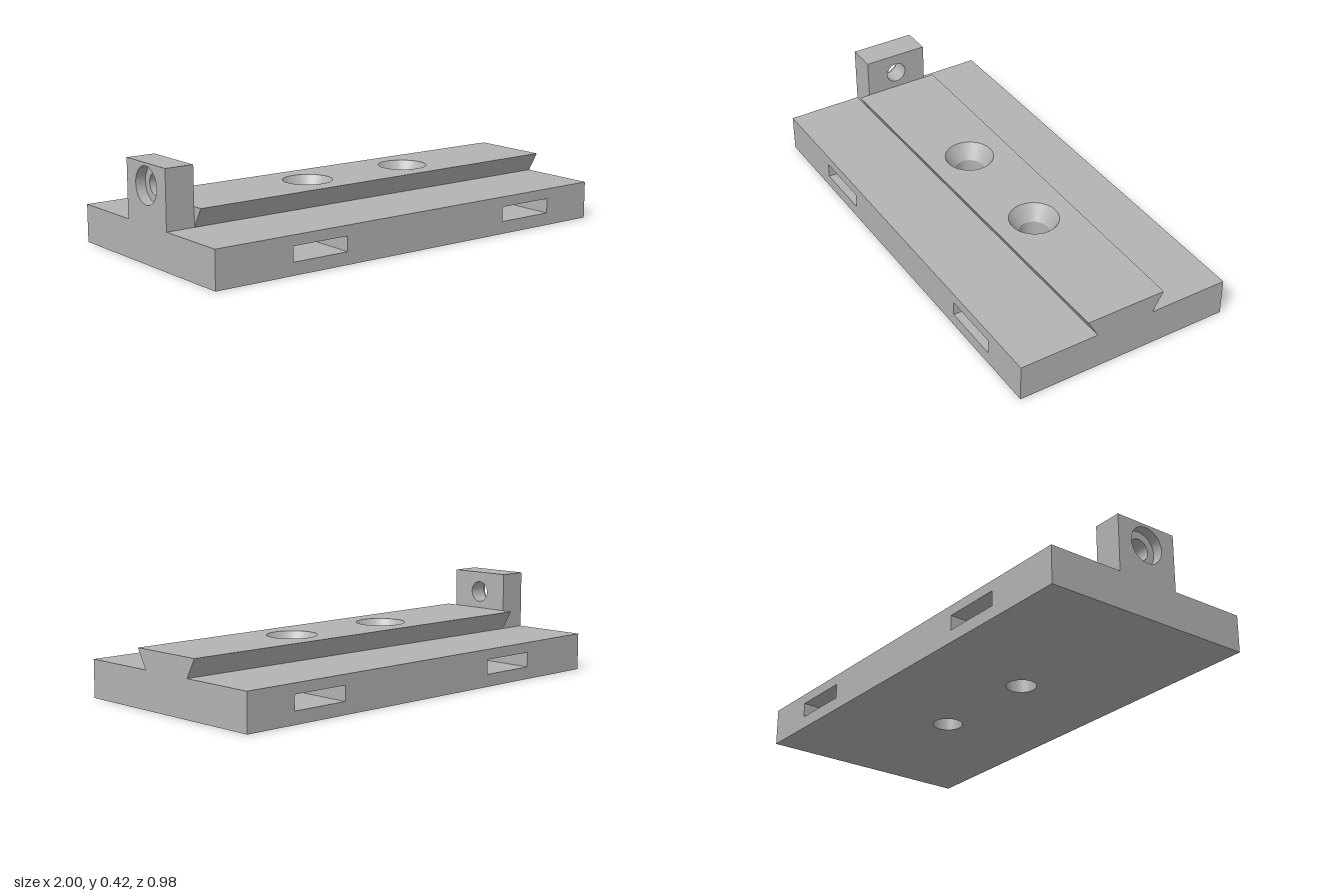
import * as THREE from 'three';
import { mergeGeometries } from 'three/addons/utils/BufferGeometryUtils.js';

const V = (x, y, z) => new THREE.Vector3(x, y, z);
const SEG = 48;

// Directions a panel can face: [u axis, v axis], facing u x v
const FACE = {
  front: [V(1, 0, 0), V(0, 1, 0)],
  back: [V(-1, 0, 0), V(0, 1, 0)],
  top: [V(1, 0, 0), V(0, 0, -1)],
  bottom: [V(1, 0, 0), V(0, 0, 1)],
  right: [V(0, 0, -1), V(0, 1, 0)],
  left: [V(0, 0, 1), V(0, 1, 0)],
};

const rect = (u0, v0, u1, v1) => [[u0, v0], [u1, v0], [u1, v1], [u0, v1]];
const circle = (u, v, r) => Array.from({ length: SEG }, (_, i) => {
  const a = (i / SEG) * Math.PI * 2;
  return [u + r * Math.cos(a), v + r * Math.sin(a)];
});

// Flat panel with optional holes, placed on a plane
function panel([u, v], origin, outline, holes = []) {
  const points = (list) => list.map(([a, b]) => new THREE.Vector2(a, b));
  const shape = new THREE.Shape(points(outline));
  holes.forEach((h) => shape.holes.push(new THREE.Path(points(h))));
  const n = u.clone().cross(v).normalize();
  return new THREE.ShapeGeometry(shape)
    .applyMatrix4(new THREE.Matrix4().makeBasis(u, v, n).setPosition(origin));
}

// Inward-facing hole wall from [radius, depth] steps, sharp between steps
function bore(steps) {
  const rings = [];
  for (let i = 0; i + 1 < steps.length; i++) {
    const pair = [steps[i], steps[i + 1]].map(([r, d]) => new THREE.Vector2(r, -d));
    rings.push(new THREE.LatheGeometry(pair, SEG));
  }
  return mergeGeometries(rings);
}

export function createModel() {
  const grey = new THREE.MeshStandardMaterial({ color: 0xb3b3b3 });
  grey.name = 'machinedGrey';
  const group = new THREE.Group();
  group.name = 'dovetailPlate';
  const add = (name, parts) => {
    const mesh = new THREE.Mesh(mergeGeometries(parts), grey);
    mesh.name = name;
    group.add(mesh);
  };

  const D = 0.49, H = 0.165, railTop = 0.25, stopX = -0.87;
  const bigLow = 0.147, bigHigh = 0.195, smallLow = 0.133, smallHigh = 0.181;
  const slots = [[-0.635, -0.365], [0.49, 0.76]];
  const slotLow = 0.055, slotHigh = 0.12;
  const screwX = [-0.2, 0.33], screwR = 0.065, sinkR = 0.108, sinkDepth = 0.07;

  // Base plate with through slots and screw holes
  const base = [
    panel(FACE.front, V(0, 0, D), rect(-1, 0, 1, H),
      slots.map(([a, b]) => rect(a, slotLow, b, slotHigh))),
    panel(FACE.back, V(0, 0, -D), rect(-1, 0, 1, H),
      slots.map(([a, b]) => rect(-b, slotLow, -a, slotHigh))),
    panel(FACE.right, V(1, 0, 0), rect(-D, 0, D, H)),
    panel(FACE.left, V(-1, 0, 0), rect(-D, 0, D, H)),
    panel(FACE.bottom, V(0, 0, 0), rect(-1, -D, 1, D),
      screwX.map((x) => circle(x, 0, screwR))),
  ];
  for (const s of [1, -1]) {
    base.push(panel(FACE.top, V(0, H, 0), [
      [-1, s * D], [1, s * D], [1, s * smallLow], [stopX, s * bigLow], [-1, s * bigLow],
    ]));
  }
  add('basePlate', base);

  // Inner walls of the slots
  add('slotWalls', slots.flatMap(([a, b]) => [
    panel(FACE.top, V(0, slotLow, 0), rect(a, -D, b, D)),
    panel(FACE.bottom, V(0, slotHigh, 0), rect(a, -D, b, D)),
    panel(FACE.right, V(a, 0, 0), rect(-D, slotLow, D, slotHigh)),
    panel(FACE.left, V(b, 0, 0), rect(-D, slotLow, D, slotHigh)),
  ]));

  // Tapered dovetail rail
  const len = 1 - stopX, rise = railTop - H, flare = bigHigh - bigLow, taper = bigLow - smallLow;
  const unit = rect(0, 0, 1, 1);
  const rail = [
    panel(FACE.top, V(0, railTop, 0),
      [[stopX, -bigHigh], [1, -smallHigh], [1, smallHigh], [stopX, bigHigh]],
      screwX.map((x) => circle(x, 0, sinkR))),
    panel(FACE.right, V(1, 0, 0),
      [[-smallLow, H], [smallLow, H], [smallHigh, railTop], [-smallHigh, railTop]]),
    panel([V(len, 0, -taper), V(0, rise, flare)], V(stopX, H, bigLow), unit),
    panel([V(-len, 0, -taper), V(0, rise, -flare)], V(1, H, -smallLow), unit),
  ];
  for (const s of [1, -1]) {
    rail.push(panel(FACE.left, V(stopX, 0, 0),
      [[s * bigLow, H], [s * bigHigh, railTop], [s * bigLow, railTop]]));
  }
  add('dovetailRail', rail);

  // Countersunk screw holes
  add('screwHoles', screwX.map((x) =>
    bore([[sinkR, 0], [screwR, sinkDepth], [screwR, railTop]]).translate(x, railTop, 0)));

  // End stop with a counterbored cross hole
  const top = 0.42, holeY = 0.327, holeR = 0.047, boreR = 0.08;
  add('endStop', [
    panel(FACE.left, V(-1, 0, 0), rect(-bigLow, H, bigLow, top), [circle(0, holeY, boreR)]),
    panel(FACE.right, V(stopX, 0, 0), rect(-bigLow, railTop, bigLow, top), [circle(0, holeY, holeR)]),
    panel(FACE.front, V(0, 0, bigLow), rect(-1, H, stopX, top)),
    panel(FACE.back, V(0, 0, -bigLow), rect(-stopX, H, 1, top)),
    panel(FACE.top, V(0, top, 0), rect(-1, -bigLow, stopX, bigLow)),
  ]);
  add('stopHole', [
    bore([[boreR, 0], [boreR, 0.045], [holeR, 0.045], [holeR, 1 + stopX]])
      .rotateZ(Math.PI / 2).translate(-1, holeY, 0),
  ]);

  return group;
}
